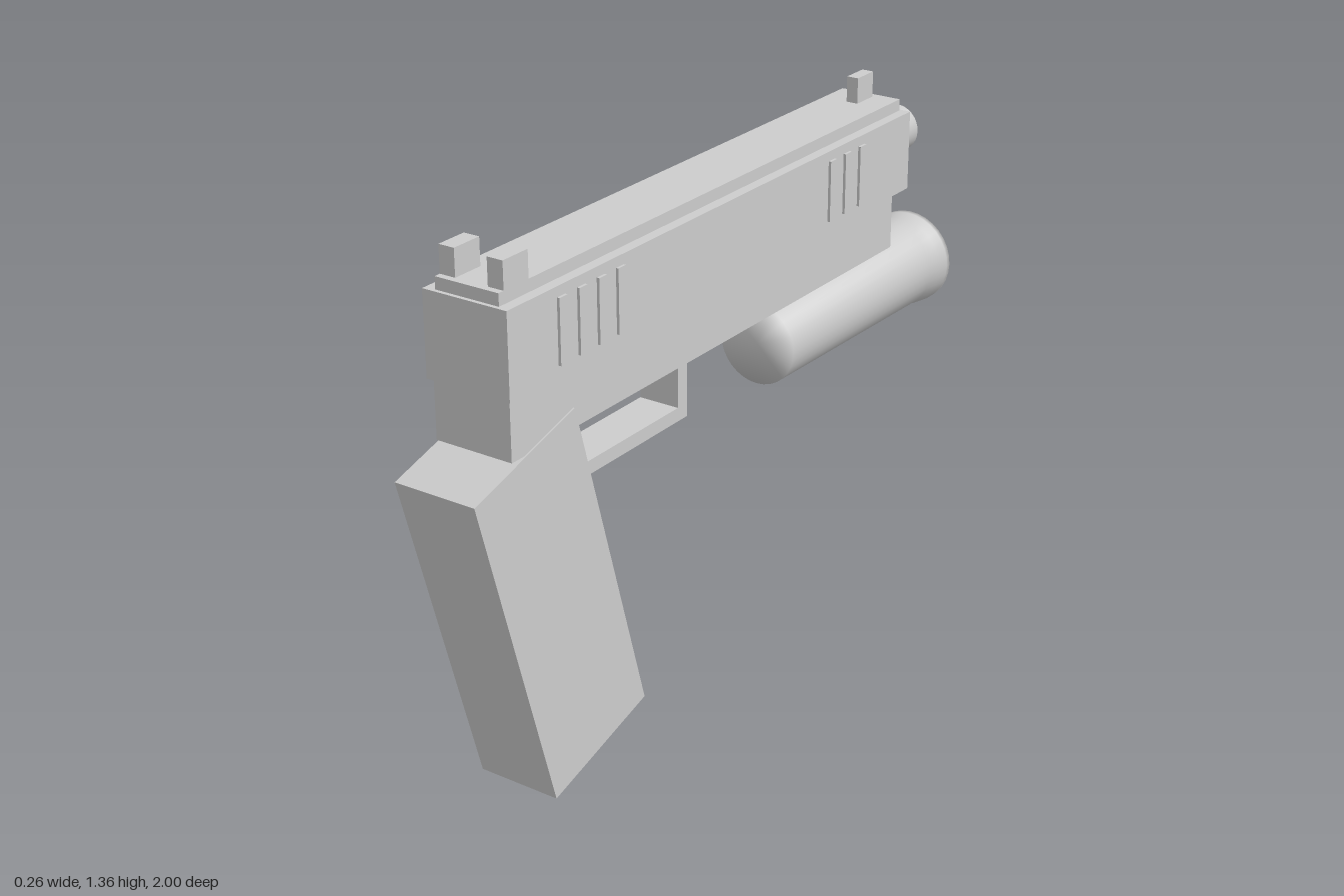
import * as THREE from 'three';
import { mergeVertices } from 'three/addons/utils/BufferGeometryUtils.js';

export function createModel() {
  const root = new THREE.Group();
  root.name = 'pistol';
  const grey = new THREE.MeshStandardMaterial({ color: 0xcccccc });
  grey.name = 'plainGrey';

  function add(name, geometry) {
    const mesh = new THREE.Mesh(geometry, grey);
    mesh.name = name;
    root.add(mesh);
    return mesh;
  }

  // Box given by its extents along each axis
  function block(name, [x0, x1], [y0, y1], [z0, z1]) {
    const mesh = add(name, new THREE.BoxGeometry(x1 - x0, y1 - y0, z1 - z0));
    mesh.position.set((x0 + x1) / 2, (y0 + y1) / 2, (z0 + z1) / 2);
    return mesh;
  }

  // Closed round part along z, with normals smoothed over its rims; profile is [radius, z]
  function turned(name, y, profile) {
    const lathe = new THREE.LatheGeometry(profile.map(([r, z]) => new THREE.Vector2(r, z)), 32);
    lathe.deleteAttribute('normal');
    lathe.deleteAttribute('uv');
    const geometry = mergeVertices(lathe, 1e-4);
    geometry.computeVertexNormals();
    geometry.rotateX(Math.PI / 2);
    const mesh = add(name, geometry);
    mesh.position.y = y;
    return mesh;
  }

  // Slide, top rib and frame
  block('slide', [-0.115, 0.113], [1.057, 1.265], [-0.777, 0.877]);
  block('topRib', [-0.087, 0.085], [1.26, 1.295], [-0.77, 0.867]);
  block('frame', [-0.105, 0.103], [0.91, 1.06], [-0.716, 0.866]);

  // Sights
  block('frontSight', [-0.017, 0.015], [1.29, 1.362], [-0.75, -0.675]);
  block('rearSightRight', [-0.087, -0.045], [1.29, 1.362], [0.767, 0.85]);
  block('rearSightLeft', [0.043, 0.085], [1.29, 1.362], [0.767, 0.85]);

  // Raised gripping ribs on both sides of the slide
  for (const z of [-0.535, -0.465, -0.395, 0.485, 0.555, 0.625, 0.695]) {
    block('slideRibRight', [-0.122, -0.112], [1.083, 1.24], [z - 0.014, z + 0.014]);
    block('slideRibLeft', [0.11, 0.12], [1.083, 1.24], [z - 0.014, z + 0.014]);
  }

  // Slanted grip
  const grip = add('grip', new THREE.BoxGeometry(0.22, 0.889, 0.364));
  grip.position.set(-0.002, 0.4825, 0.7025);
  grip.rotation.x = 0.279;

  // Trigger guard
  block('guardPost', [-0.057, 0.053], [0.735, 0.912], [0.145, 0.182]);
  block('guardBar', [-0.057, 0.053], [0.735, 0.77], [0.18, 0.62]);

  // Barrel tip and the lamp below it
  turned('barrel', 1.168, [[0, -0.91], [0.063, -0.91], [0.063, -0.76], [0, -0.76]]);
  turned('lamp', 0.776, [
    [0, -1], [0.128, -1], [0.128, -0.985], [0.124, -0.95], [0.118, -0.91],
    [0.109, -0.24], [0, -0.24],
  ]);

  return root;
}
